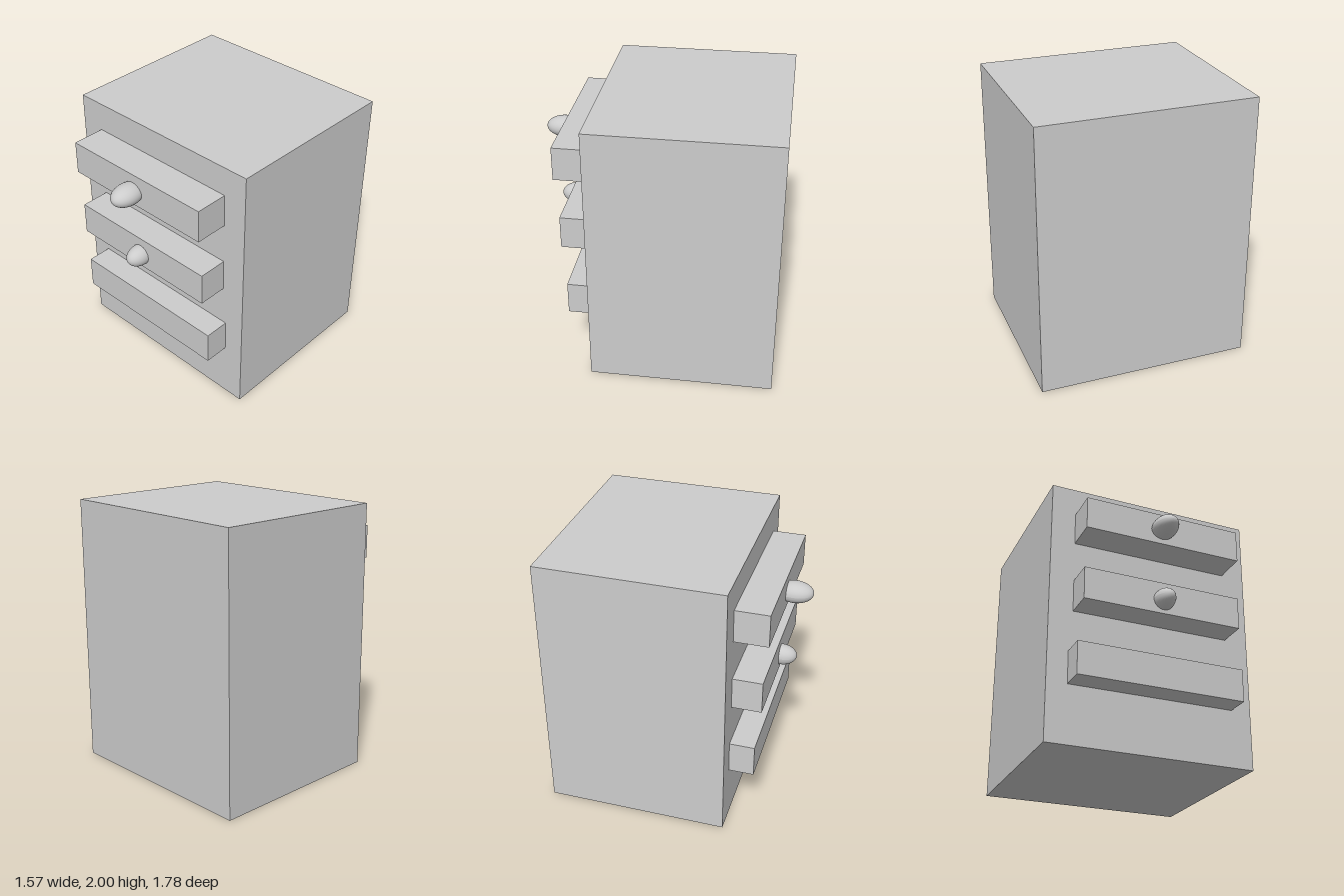
import * as THREE from 'three';

const material = new THREE.MeshStandardMaterial({ color: 0xcccccc });

// Box given by its extents on each axis
function block(name, [x0, x1], [y0, y1], [z0, z1]) {
  const mesh = new THREE.Mesh(new THREE.BoxGeometry(x1 - x0, y1 - y0, z1 - z0), material);
  mesh.position.set((x0 + x1) / 2, (y0 + y1) / 2, (z0 + z1) / 2);
  mesh.name = name;
  return mesh;
}

// Ellipsoid knob, poles along z, partly sunk into its drawer
function knob(name, centre, radii) {
  const geometry = new THREE.SphereGeometry(1, 32, 24);
  geometry.rotateX(Math.PI / 2);
  geometry.scale(...radii);
  geometry.computeVertexNormals();
  const mesh = new THREE.Mesh(geometry, material);
  mesh.position.set(...centre);
  mesh.name = name;
  return mesh;
}

export function createModel() {
  const model = new THREE.Group();
  model.name = 'drawerCabinet';
  const front = 0.46;

  // Cabinet body
  model.add(block('cabinetBody', [-0.783, 0.783], [0, 2], [-0.892, front]));

  // Drawers, each pulled out a little further than the one below
  const drawers = [
    { name: 'topDrawer', halfWidth: 0.602, y: [1.54, 1.786], z: 0.707 },
    { name: 'middleDrawer', halfWidth: 0.602, y: [0.99, 1.234], z: 0.678 },
    { name: 'bottomDrawer', halfWidth: 0.629, y: [0.434, 0.68], z: 0.645 },
  ];
  for (const d of drawers) {
    model.add(block(d.name, [-d.halfWidth, d.halfWidth], d.y, [front, d.z]));
  }

  // Knobs on the upper two drawers
  model.add(knob('topKnob', [-0.016, 1.65, 0.757], [0.092, 0.077, 0.135]));
  model.add(knob('middleKnob', [0, 1.096, 0.685], [0.077, 0.077, 0.115]));

  return model;
}
